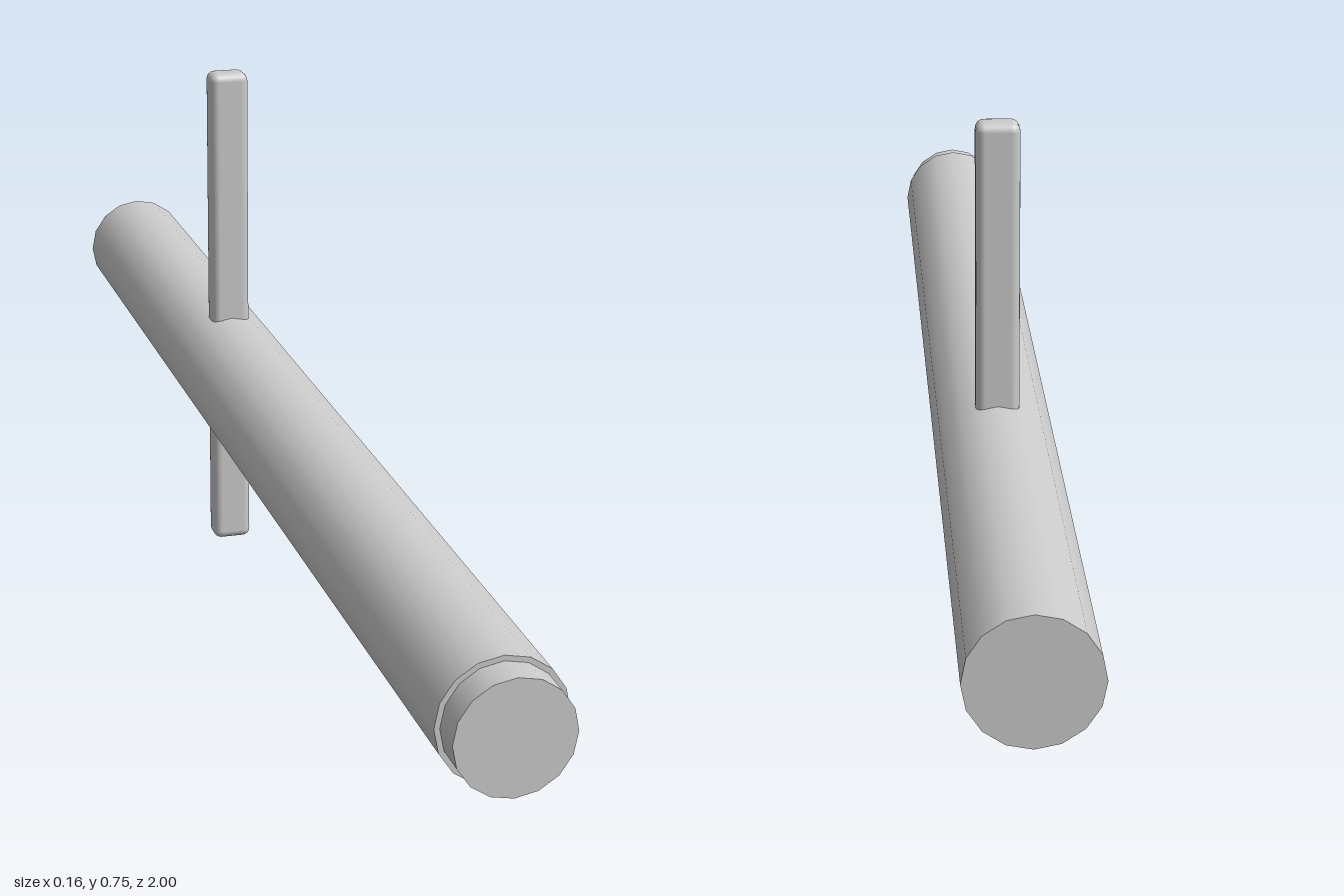
import * as THREE from 'three';
import { RoundedBoxGeometry } from 'three/addons/geometries/RoundedBoxGeometry.js';

export function createModel() {
  const group = new THREE.Group();
  const material = new THREE.MeshStandardMaterial({ color: 0xcccccc });
  const axisY = 0.286;

  // Round bar lying along z between two depths
  function rod(name, radius, back, front) {
    const geometry = new THREE.CylinderGeometry(radius, radius, front - back, 16);
    geometry.rotateX(Math.PI / 2);
    const mesh = new THREE.Mesh(geometry, material);
    mesh.name = name;
    mesh.position.set(0, axisY, (back + front) / 2);
    group.add(mesh);
  }

  // Long shaft with a slightly narrower end
  rod('shaft', 0.082, -1, 0.955);
  rod('endPlug', 0.075, 0.95, 1);

  // Upright bar with rounded edges, passing through the shaft
  const bar = new THREE.Mesh(new RoundedBoxGeometry(0.058, 0.752, 0.042, 3, 0.012), material);
  bar.name = 'crossBar';
  bar.position.set(0, 0.376, -0.325);
  group.add(bar);

  return group;
}
